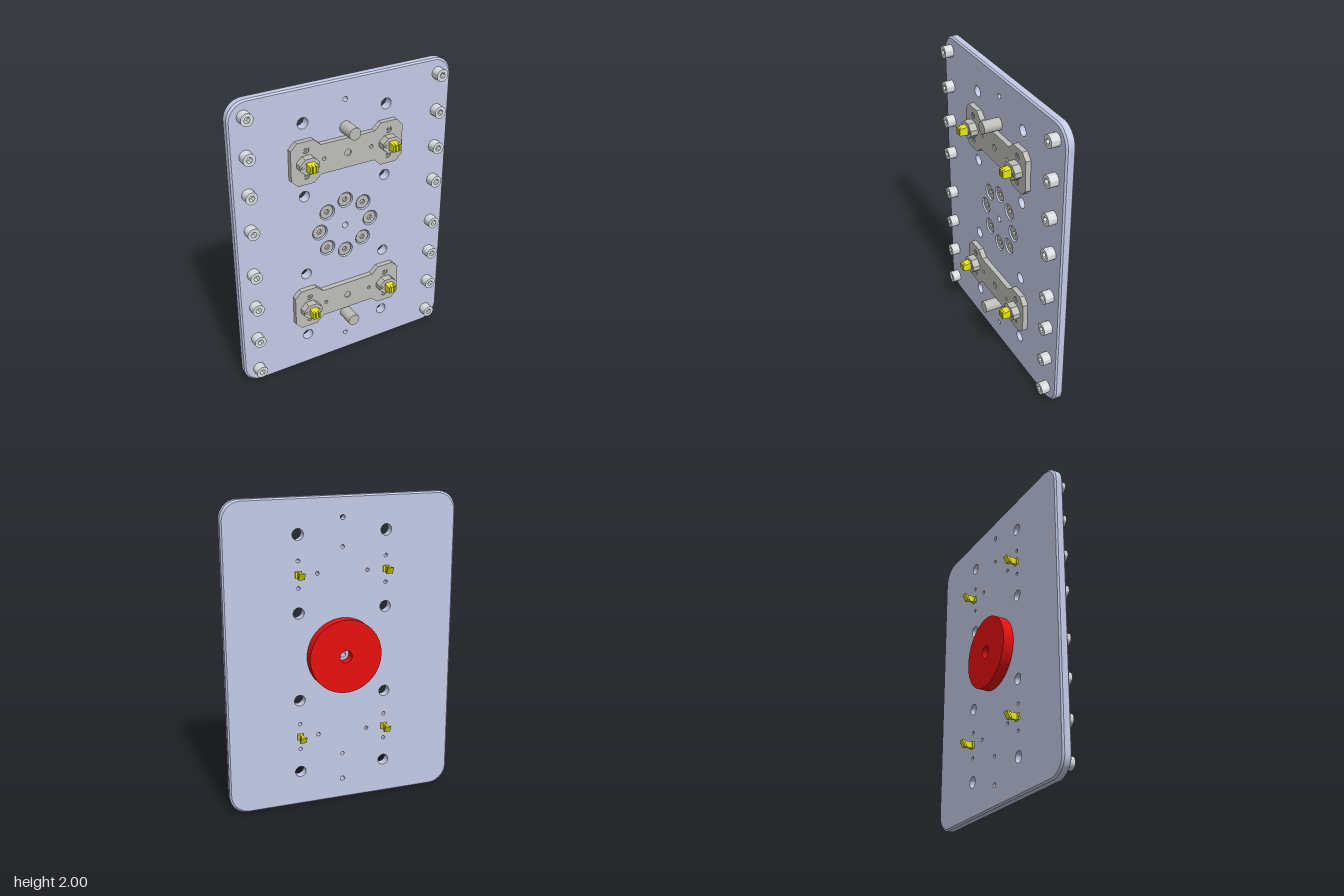
import * as THREE from 'three';
import { toCreasedNormals } from 'three/addons/utils/BufferGeometryUtils.js';

const material = (name, color) => Object.assign(new THREE.MeshStandardMaterial({ color }), { name });

export function createModel() {
  const paint = material('plate blue grey', 0xcad1ee);
  const steel = material('steel grey', 0xbebdb9);
  const bright = material('bright steel', 0xd8dedf);
  const yellow = material('contact yellow', 0xe6e612);
  const red = material('disc red', 0xee1111);

  const model = new THREE.Group();
  model.name = 'mountingPlate';
  const BACK = -0.056, FRONT = 0.004, BRACKET = 0.038;
  const rows = [1.531, 0.475], sides = [-1, 1];
  const pinX = 0.288;

  const add = (name, geometry, mat, x = 0, y = 0, z = 0, parent = model) => {
    const mesh = new THREE.Mesh(geometry, mat);
    mesh.name = name;
    mesh.position.set(x, y, z);
    parent.add(mesh);
    return mesh;
  };
  const polygon = (points) => new THREE.Shape(points.map(([x, y]) => new THREE.Vector2(x, y)));
  const circle = (r, x = 0, y = 0) => new THREE.Path().absarc(x, y, r, 0, Math.PI * 2, true);
  const extrude = (shape, depth, options = {}) => toCreasedNormals(
    new THREE.ExtrudeGeometry(shape, { depth, bevelEnabled: false, curveSegments: 16, ...options }), 0.6);
  const cylinder = (r, depth, segments = 32) =>
    new THREE.CylinderGeometry(r, r, depth, segments).rotateX(Math.PI / 2).translate(0, 0, depth / 2);
  // Extrudes an x-z profile along y, centred on y = 0
  const alongY = (points, height) =>
    new THREE.ExtrudeGeometry(polygon(points), { depth: height, bevelEnabled: false })
      .rotateX(Math.PI / 2).translate(0, height / 2, 0);
  const reshape = (geometry, rule) => {
    const p = geometry.attributes.position, v = new THREE.Vector3();
    for (let i = 0; i < p.count; i++) {
      rule(v.fromBufferAttribute(p, i));
      p.setXYZ(i, v.x, v.y, v.z);
    }
    geometry.computeVertexNormals();
    return geometry;
  };

  // Screw head with a hexagonal socket
  const screw = (name, r, hexR, depth, mat, x, y, z, parent = model) => {
    const group = new THREE.Group();
    group.name = name;
    group.position.set(x, y, z);
    const shape = new THREE.Shape().absarc(0, 0, r, 0, Math.PI * 2, false);
    const hex = Array.from({ length: 6 }, (_, i) =>
      new THREE.Vector2(Math.cos(i * Math.PI / 3) * hexR, -Math.sin(i * Math.PI / 3) * hexR));
    shape.holes.push(new THREE.Path([...hex, hex[0].clone()]));
    add('head', extrude(shape, depth), mat, 0, 0, 0, group);
    add('socketFloor', cylinder(hexR * 1.05, depth * 0.4, 6), mat, 0, 0, 0, group);
    parent.add(group);
  };

  // Base plate: rounded corners, drilled, with chamfered outer edges
  const w = 0.76, h = 1, c = 0.12, bevel = 0.01, thick = FRONT - BACK;
  const outline = new THREE.Shape()
    .absarc(w - c, h - c, c, 0, Math.PI / 2)
    .absarc(-w + c, h - c, c, Math.PI / 2, Math.PI)
    .absarc(-w + c, -h + c, c, Math.PI, Math.PI * 1.5)
    .absarc(w - c, -h + c, c, Math.PI * 1.5, Math.PI * 2);
  const drill = (r, x, y) => outline.holes.push(circle(r, x, y - 1));
  drill(0.021, 0, 1);
  for (const y of [1.867, 0.138]) drill(0.016, 0, y);
  for (const y of [1.687, 0.318]) drill(0.012, 0, y);
  for (const s of sides) {
    for (const y of [1.777, 1.289, 0.72, 0.232]) drill(0.036, s * pinX, y);
    for (const y of rows) {
      drill(0.012, s * 0.165, y);
      for (const t of sides) drill(0.012, s * pinX, y + t * 0.085);
    }
  }
  const ring = Array.from({ length: 8 }, (_, i) =>
    [0.185 * Math.cos(i * Math.PI / 4), 1 + 0.185 * Math.sin(i * Math.PI / 4)]);
  for (const [x, y] of ring) drill(0.053, x, y);
  const plate = new THREE.ExtrudeGeometry(outline, { depth: thick, steps: 3, bevelEnabled: false, curveSegments: 16 });
  reshape(plate, (v) => {
    const layer = Math.round(v.z / thick * 3);
    v.z = [0, bevel, thick - bevel, thick][layer];
    if (layer % 3 === 0 && Math.abs(v.x) > 0.6) {
      v.x *= 1 - bevel / w;
      v.y *= 1 - bevel / h;
    }
  });
  add('basePlate', toCreasedNormals(plate, 0.6), paint, 0, 1, BACK);

  // Ring of recessed screws
  for (const [x, y] of ring) {
    add('counterboreFloor', cylinder(0.053, 0.026), steel, x, y, BACK);
    screw('recessedScrew', 0.045, 0.018, 0.026, steel, x, y, -0.03);
  }

  // Cap screws down both edges
  for (const s of sides)
    for (const y of [1.902, 1.655, 1.405, 1.16, 0.845, 0.6, 0.35, 0.102])
      screw('edgeScrew', 0.04, 0.02, 0.057, bright, s * 0.66, y, FRONT);

  // Locating pins
  for (const y of [1.687, 0.318]) add('locatingPin', cylinder(0.04, 0.118), steel, 0, y, FRONT);

  // Disc on the back
  const disc = new THREE.Shape().absarc(0, 0, 0.238, 0, Math.PI * 2, false);
  disc.holes.push(circle(0.04));
  add('backDisc', extrude(disc, 0.069, { curveSegments: 48 }), red, 0, 1, BACK - 0.069);

  // Quarter outlines mirrored into closed symmetric shapes
  const mirror4 = (q) => {
    const top = [...q, ...q.map(([x, y]) => [-x, y]).reverse()];
    return polygon([...top, ...top.map(([x, y]) => [-x, -y])]);
  };

  // Contact brackets
  for (const y of rows) {
    const bracket = new THREE.Group();
    bracket.name = 'contactBracket';
    bracket.position.y = y;
    model.add(bracket);
    const shape = mirror4([[0.39, 0.1], [0.347, 0.143], [0.235, 0.143], [0.187, 0.099]]);
    shape.holes.push(circle(0.022));
    for (const s of sides) {
      shape.holes.push(circle(0.012, s * 0.165, 0));
      for (const t of sides) shape.holes.push(circle(0.021, s * pinX, t * 0.085));
    }
    add('bracketPlate', extrude(shape, BRACKET - FRONT), steel, 0, 0, FRONT, bracket);
    add('centreHoleFloor', cylinder(0.022, 0.026), steel, 0, 0, FRONT, bracket);

    for (const s of sides) {
      const x = s * pinX;
      for (const t of sides)
        screw('bracketScrew', 0.02, 0.01, 0.028, steel, x, t * 0.085, FRONT, bracket);

      // Contact housing with two small screws
      add('contactHousing', extrude(mirror4([[0.066, 0.016], [0.03, 0.051]]), 0.049),
        steel, x, 0, BRACKET, bracket);
      for (const t of sides)
        screw('housingScrew', 0.011, 0.006, 0.004, steel, x + t * 0.047, 0, 0.087, bracket);

      // Slotted contact tip
      const tip = alongY([[-0.026, 0.085], [0.026, 0.085], [0.026, 0.143], [0.014, 0.143], [0.011, 0.118],
        [0.008, 0.143], [-0.008, 0.143], [-0.011, 0.118], [-0.014, 0.143], [-0.026, 0.143]], 0.056);
      add('contactTip', reshape(tip, (v) => { if (v.z > 0.14) v.y *= 0.8; }), yellow, x, 0, 0, bracket);

      // Rear terminal: I-section with a slanted end
      const terminal = alongY([[-0.02, -0.054], [-0.02, -0.066], [-0.008, -0.068], [-0.008, -0.125],
        [-0.02, -0.127], [-0.02, -0.143], [0.02, -0.143], [0.02, -0.127], [0.008, -0.125],
        [0.008, -0.068], [0.02, -0.066], [0.02, -0.054]], 0.042);
      reshape(terminal, (v) => { if (v.z < -0.12 && v.y < 0) v.z += 0.022; });
      add('rearTerminal', terminal, yellow, x, 0, 0, bracket);
    }
  }
  return model;
}
